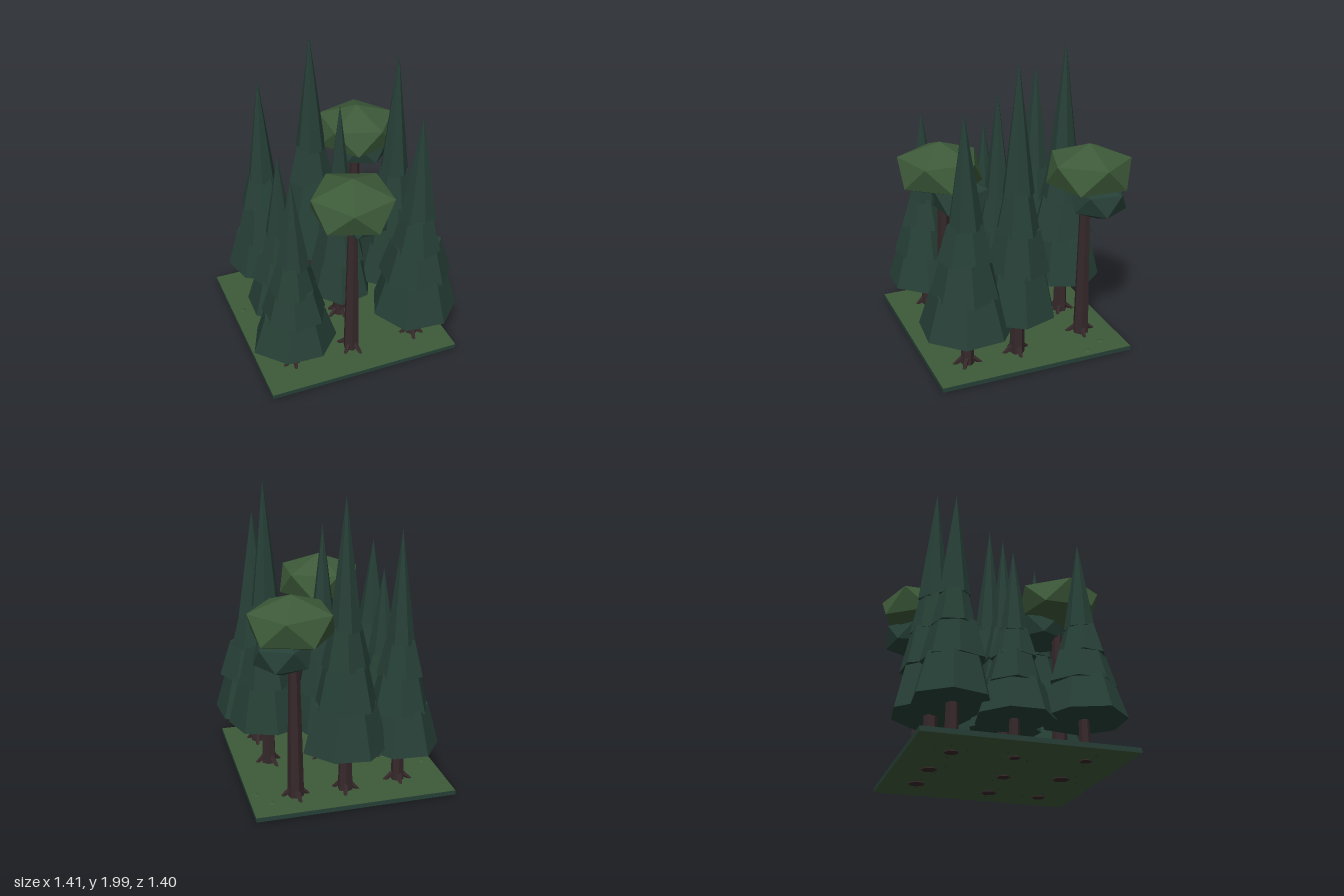
import * as THREE from 'three';

const mat = (name, color) => {
  const m = new THREE.MeshStandardMaterial({ color });
  m.name = name;
  return m;
};

// flat-shaded mesh with facet normals
function part(name, geometry, material) {
  const g = geometry.index ? geometry.toNonIndexed() : geometry;
  g.computeVertexNormals();
  const mesh = new THREE.Mesh(g, material);
  mesh.name = name;
  return mesh;
}

// push vertices in and out by a smooth rule around the axis
function roughen(geometry, seed, amount) {
  const p = geometry.attributes.position;
  for (let i = 0; i < p.count; i++) {
    const a = Math.atan2(p.getZ(i), p.getX(i));
    const f = 1 + amount * Math.sin(2 * a + seed * 1.7) + amount * 0.6 * Math.sin(3 * a + seed);
    p.setX(i, p.getX(i) * f);
    p.setZ(i, p.getZ(i) * f);
  }
  return geometry;
}

export function createModel() {
  const grass = mat('grass green', 0x3d5a39);
  const needle = mat('dark needle green', 0x263f36);
  const bark = mat('dark bark', 0x36282a);

  const model = new THREE.Group();
  model.name = 'forestPatch';

  // ground slab: grass on top and below, dark rim
  const slab = new THREE.Mesh(new THREE.BoxGeometry(1.31, 0.03, 1.31),
    [needle, needle, grass, grass, needle, needle]);
  slab.name = 'ground';
  slab.position.set(-0.025, 0.027, 0.017);
  model.add(slab);

  // trunk with flared roots that pass through the ground
  function addTrunk(tree, height, r0, r1, seed) {
    const trunk = part('trunk', new THREE.CylinderGeometry(r1, r0, height, 6), bark);
    trunk.position.y = 0.005 + height / 2;
    trunk.rotation.y = seed;
    tree.add(trunk);
    const roots = new THREE.Group();
    roots.name = 'roots';
    for (let i = 0; i < 4; i++) {
      const from = new THREE.Vector3(r0 * 0.5, 0.09, 0);
      const to = new THREE.Vector3(r0 + 0.055 + 0.015 * (i % 2), 0.014, 0);
      const dir = to.clone().sub(from);
      const root = part('root', new THREE.CylinderGeometry(0.008, 0.02, dir.length(), 5), bark);
      root.position.copy(from).add(to).multiplyScalar(0.5);
      root.quaternion.setFromUnitVectors(new THREE.Vector3(0, 1, 0), dir.normalize());
      const arm = new THREE.Group();
      arm.add(root);
      arm.rotation.y = seed * 1.3 + i * Math.PI / 2 + 0.3 * Math.sin(seed + i * 2);
      roots.add(arm);
    }
    tree.add(roots);
  }

  // conifer: three stepped skirts and a tall spire
  const steps = [[0, 1], [0.18, 0.77], [0.34, 0.57], [0.49, 0.38], [1, 0]];
  function addConifer([x, z, height, radius], n) {
    const tree = new THREE.Group();
    tree.name = 'conifer';
    tree.position.set(x, 0, z);
    const y0 = 0.177 * height;
    addTrunk(tree, y0 + 0.12, 0.026 * height, 0.02 * height, n + 1);
    for (let i = 0; i < 4; i++) {
      const [f0, k0] = steps[i];
      const [f1, k1] = steps[i + 1];
      const h = (f1 - f0) * (height - y0) + (i < 3 ? 0.02 : 0);
      const geo = new THREE.CylinderGeometry(k1 * radius * 0.93, k0 * radius, h, 7);
      geo.rotateY(n * 0.8 + i * 1.1);
      roughen(geo, n + i * 2, 0.05);
      const layer = part(i < 3 ? 'foliageSkirt' : 'foliageSpire', geo, needle);
      layer.position.y = y0 + f0 * (height - y0) + h / 2;
      tree.add(layer);
    }
    model.add(tree);
  }

  // x, z, height, skirt radius
  [
    [-0.37, -0.38, 1.74, 0.26],
    [0.00, -0.42, 1.97, 0.27],
    [-0.38, 0.00, 1.38, 0.245],
    [0.02, 0.06, 1.70, 0.23],
    [0.40, 0.08, 1.99, 0.26],
    [-0.44, 0.42, 1.47, 0.275],
    [0.41, 0.43, 1.72, 0.30],
  ].forEach(addConifer);

  // squashed icosahedron standing on a corner
  function blob(name, material, radius, halfHeight, turn) {
    const geo = new THREE.IcosahedronGeometry(1, 0);
    geo.rotateX(-Math.atan((1 + Math.sqrt(5)) / 2));
    geo.rotateY(turn);
    geo.scale(radius / 0.894, halfHeight, radius / 0.894);
    return part(name, geo, material);
  }

  // broad tree: tall trunk, wide crown, smaller dark clump beneath
  function addBroadTree(x, z, crown, clump, turn) {
    const tree = new THREE.Group();
    tree.name = 'broadTree';
    tree.position.set(x, 0, z);
    addTrunk(tree, 1.1, 0.055, 0.032, turn + 2);
    const top = blob('crown', grass, 0.27, 0.18, turn);
    top.position.set(crown[0], 1.215, crown[1]);
    const low = blob('lowerClump', needle, 0.18, 0.14, turn + 0.5);
    low.position.set(clump[0], 1.04, clump[1]);
    tree.add(top, low);
    model.add(tree);
  }
  addBroadTree(0.33, -0.42, [0.015, -0.01], [0.08, -0.05], 0.3);
  addBroadTree(-0.035, 0.42, [-0.01, 0.01], [0.09, -0.09], 0.9);

  // low tufts just breaking the ground
  [[0.5, -0.48], [0.02, -0.31], [-0.61, -0.2], [-0.39, -0.06], [0.58, -0.35]].forEach(([x, z], i) => {
    const tuft = blob('tuft', grass, 0.03, 0.024, i);
    tuft.position.set(x, 0.03, z);
    model.add(tuft);
  });

  return model;
}
